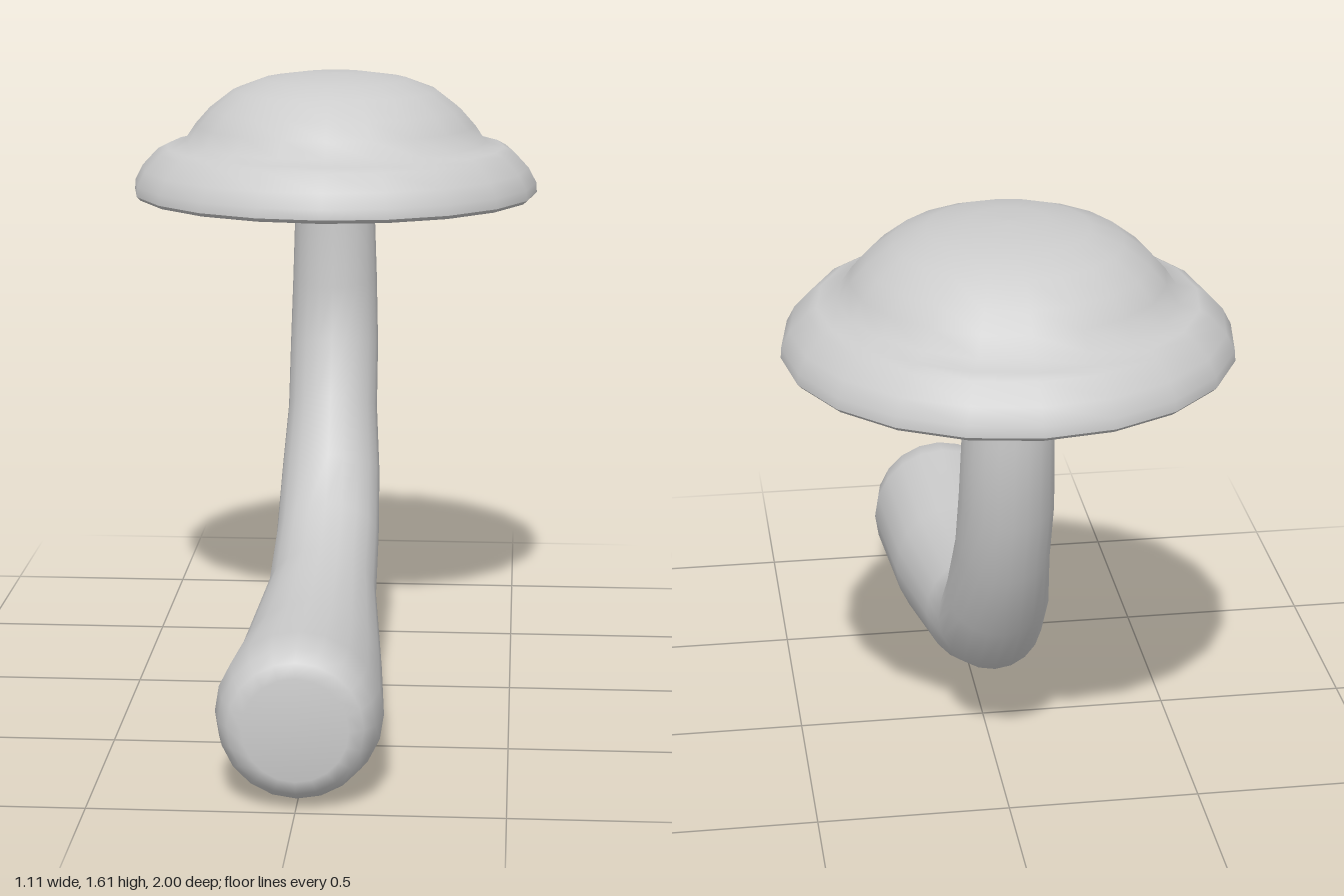
import * as THREE from 'three';

const material = new THREE.MeshStandardMaterial({ color: 0xcccccc });
const CAP_Z = -0.445;

function lathe(name, points) {
  const profile = points.map(([r, y]) => new THREE.Vector2(r, y));
  const mesh = new THREE.Mesh(new THREE.LatheGeometry(profile, 20), material);
  mesh.name = name;
  mesh.position.z = CAP_Z;
  return mesh;
}

// Bent tube through round rings, each given by its upper and lower point: [z, y, z, y]
function bentTube(rings, sides) {
  const positions = [], index = [];
  rings.forEach(([z1, y1, z2, y2]) => {
    const r = Math.hypot(z1 - z2, y1 - y2) / 2;
    for (let k = 0; k < sides; k++) {
      const a = (k / sides) * Math.PI * 2, s = Math.sin(a) / 2;
      positions.push(Math.cos(a) * r, (y1 + y2) / 2 + s * (y1 - y2), (z1 + z2) / 2 + s * (z1 - z2));
    }
  });
  for (let i = 0; i < rings.length - 1; i++) {
    for (let k = 0; k < sides; k++) {
      const n = (k + 1) % sides;
      const a = i * sides + k, b = i * sides + n, c = a + sides, d = b + sides;
      index.push(a, c, b, b, c, d);
    }
  }
  // Close the foot
  const centre = positions.length / 3;
  positions.push(0, (rings[0][1] + rings[0][3]) / 2, rings[0][0]);
  for (let k = 0; k < sides; k++) index.push(centre, k, (k + 1) % sides);
  const geometry = new THREE.BufferGeometry();
  geometry.setAttribute('position', new THREE.Float32BufferAttribute(positions, 3));
  geometry.setIndex(index);
  geometry.computeVertexNormals();
  return geometry;
}

export function createModel() {
  const model = new THREE.Group();
  model.name = 'mushroom';

  // Stem: rounded foot facing forward, sweeping back and up into the cap
  const stem = new THREE.Mesh(bentTube([
    [1.0, 0.335, 1.0, 0.08],
    [0.985, 0.37, 0.985, 0.045],
    [0.95, 0.395, 0.945, 0.02],
    [0.86, 0.41, 0.86, 0.003],
    [0.53, 0.385, 0.465, 0.03],
    [0.13, 0.415, 0.03, 0.145],
    [-0.065, 0.49, -0.235, 0.27],
    [-0.17, 0.60, -0.395, 0.455],
    [-0.25, 0.74, -0.475, 0.645],
    [-0.31, 0.89, -0.545, 0.83],
    [-0.335, 1.03, -0.565, 1.06],
    [-0.335, 1.3, -0.55, 1.3],
  ], 20), material);
  stem.name = 'stem';
  model.add(stem);

  // Cap: flared brim with a dome on top
  model.add(lathe('cap', [
    [0.555, 1.283], [0.553, 1.31], [0.532, 1.35], [0.49, 1.395], [0.465, 1.408],
    [0.415, 1.42], [0.385, 1.465], [0.345, 1.51], [0.28, 1.56], [0.2, 1.59],
    [0.1, 1.605], [0, 1.608],
  ]));

  // Rim and slightly recessed underside
  model.add(lathe('rim', [[0.515, 1.287], [0.525, 1.275], [0.545, 1.273], [0.555, 1.283]]));
  model.add(lathe('underside', [[0, 1.287], [0.515, 1.287]]));

  return model;
}
